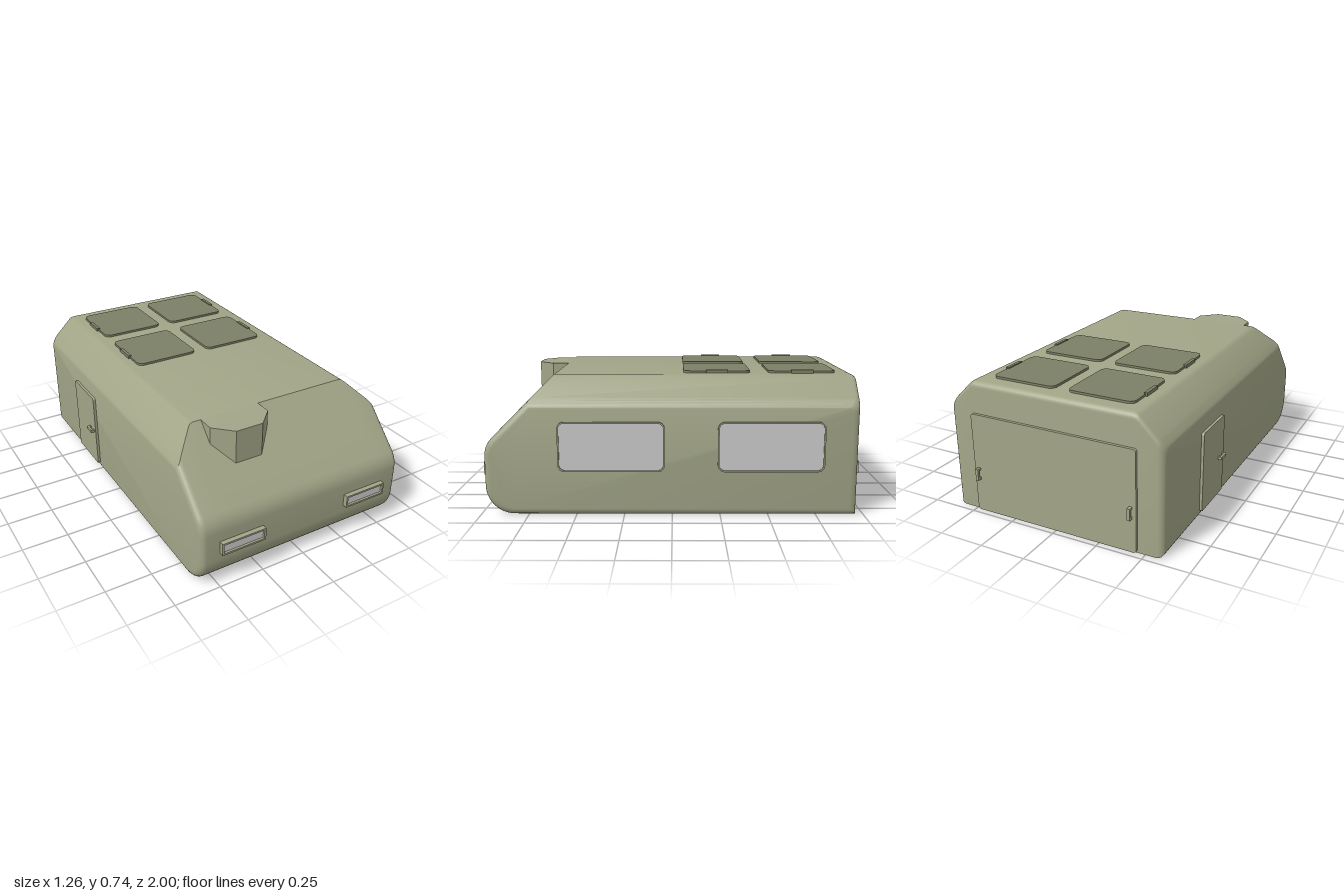
import * as THREE from 'three';
import { toCreasedNormals } from 'three/addons/utils/BufferGeometryUtils.js';

const olive = new THREE.MeshStandardMaterial({ color: 0xa2a587 });
const darkOlive = new THREE.MeshStandardMaterial({ color: 0x7d8066 });
const grey = new THREE.MeshStandardMaterial({ color: 0xcccccc });

const LEFT = 0.62, RIGHT = -0.595, FRONT = 0.975, BACK = -0.96, ROOF = 0.72;

// Side outline as [z, y] points, shrunk by d and cut off at height top
function outline(d, top) {
  const pts = [];
  const arc = (z, y, r, from, to, n) => {
    for (let i = 0; i <= n; i++) {
      const a = THREE.MathUtils.degToRad(from + (to - from) * i / n);
      pts.push([z + r * Math.cos(a), y + r * Math.sin(a)]);
    }
  };
  arc(FRONT - 0.15, 0.15, 0.15 - d, -90, 0, 10);
  arc(FRONT - 0.133, 0.31, 0.133 - d, 0, 45, 5);
  pts.push([1.34 - d * Math.SQRT2 - top, top]);
  arc(BACK + d + 0.03, top - 0.03, 0.03, 90, 180, 5);
  pts.push([BACK + d, d]);
  return pts;
}

// Hull: side outlines lofted across the width, with rounded sides and chamfered roof edges
function hullGeometry() {
  const r = 0.035, steps = [];
  for (let i = 0; i <= 5; i++) {
    const a = (Math.PI / 2) * (1 - i / 5);
    const o = r * (1 - Math.sin(a));
    steps.push([o, r * (1 - Math.cos(a)), 0.58 + o - 0.015 * (1 - i / 5)]);
  }
  steps.push([0.128, 0, 0.706], [0.143, 0, 0.717], [0.16, 0, ROOF]);
  const stations = [
    ...steps.map(([o, d, t]) => [RIGHT + o, d, t]),
    ...steps.slice().reverse().map(([o, d, t]) => [LEFT - o, d, t]),
  ];
  const pos = [], index = [];
  let n = 0;
  for (const [x, d, t] of stations) {
    const loop = outline(d, t);
    n = loop.length;
    for (const [z, y] of loop) pos.push(x, y, z);
  }
  const last = (stations.length - 1) * n;
  for (let s = 0; s < last; s += n) {
    for (let i = 0; i < n; i++) {
      const a = s + i, b = s + (i + 1) % n;
      index.push(a, a + n, b, b, a + n, b + n);
    }
  }
  for (let i = 1; i < n - 1; i++) {
    index.push(0, i, i + 1, last, last + i + 1, last + i);
  }
  const g = new THREE.BufferGeometry();
  g.setAttribute('position', new THREE.Float32BufferAttribute(pos, 3));
  g.setIndex(index);
  return toCreasedNormals(g.toNonIndexed(), 0.5);
}

function roundedRect(w, h, r, Type = THREE.Shape) {
  const s = new Type(), x = w / 2, y = h / 2;
  s.absarc(x - r, y - r, r, 0, Math.PI / 2);
  s.absarc(-x + r, y - r, r, Math.PI / 2, Math.PI);
  s.absarc(-x + r, -y + r, r, Math.PI, Math.PI * 1.5);
  s.absarc(x - r, -y + r, r, Math.PI * 1.5, Math.PI * 2);
  s.closePath();
  return s;
}

// Flat panel with rounded corners, facing +z; a border leaves a window opening
function panel(name, w, h, depth, r, material, border = 0) {
  const shape = roundedRect(w, h, r);
  if (border) {
    shape.holes.push(roundedRect(w - 2 * border, h - 2 * border, Math.max(r - border, 0.001), THREE.Path));
  }
  const g = new THREE.ExtrudeGeometry(shape, { depth, bevelEnabled: false, curveSegments: 6 });
  const m = new THREE.Mesh(g, material);
  m.name = name;
  return m;
}

function box(name, w, h, d, x, y, z, material = olive) {
  const m = new THREE.Mesh(new THREE.BoxGeometry(w, h, d), material);
  m.position.set(x, y, z);
  m.name = name;
  return m;
}

// Grab handle along y, standing out towards +z
function handle(name, length, reach) {
  const g = new THREE.Group(), t = 0.012;
  g.name = name;
  g.add(box('grip', 0.016, length, t, 0, 0, reach - t / 2));
  for (const s of [-1, 1]) {
    g.add(box('gripPost', 0.016, t, reach, 0, s * (length - t) / 2, reach / 2));
  }
  return g;
}

function place(obj, x, y, z, rx = 0, ry = 0, rz = 0) {
  obj.position.set(x, y, z);
  obj.rotation.set(rx, ry, rz);
  return obj;
}

export function createModel() {
  const model = new THREE.Group();
  model.name = 'camperBody';
  const H = Math.PI / 2;

  const hull = new THREE.Mesh(hullGeometry(), olive);
  hull.name = 'hull';
  model.add(hull);

  // Angular bay flush with the roof, standing out over the sloped front
  const plan = [[-0.39, 0.62], [-0.39, 0.71], [-0.298, 0.8], [-0.147, 0.8], [-0.057, 0.71], [-0.057, 0.62]];
  const bayShape = new THREE.Shape(plan.map(([x, z]) => new THREE.Vector2(x, -z)));
  const bay = new THREE.Mesh(new THREE.ExtrudeGeometry(bayShape, { depth: 0.22, bevelEnabled: false }), olive);
  bay.name = 'frontBay';
  model.add(place(bay, 0, 0.5, 0, -H));

  // Four roof hatches with latches on their outer edges
  for (const z of [-0.69, -0.237]) {
    for (const [x, latchX] of [[-0.212, -0.394], [0.226, 0.407]]) {
      model.add(place(panel('roofHatch', 0.362, 0.356, 0.014, 0.035, darkOlive), x, ROOF - 0.002, z, -H));
      model.add(box('hatchLatch', 0.018, 0.02, 0.115, latchX, ROOF + 0.008, z, darkOlive));
    }
  }

  // Framed windows on the left side
  for (const z of [0.315, -0.51]) {
    model.add(place(panel('windowFrame', 0.552, 0.262, 0.012, 0.036, olive, 0.008), LEFT - 0.003, 0.365, z, 0, H));
    model.add(place(panel('windowGlass', 0.538, 0.248, 0.005, 0.028, grey), LEFT - 0.003, 0.365, z, 0, H));
  }

  // Headlights: raised frame with a recessed lens
  for (const x of [-0.365, 0.388]) {
    model.add(place(panel('headlightFrame', 0.25, 0.07, 0.03, 0.002, olive, 0.01), x, 0.223, FRONT - 0.005));
    model.add(place(panel('headlightLens', 0.232, 0.052, 0.018, 0.002, grey), x, 0.223, FRONT - 0.005));
  }

  // Rear ramp door with two handles
  model.add(place(panel('rearDoor', 0.94, 0.546, 0.018, 0.015, olive), 0.0125, 0.277, BACK + 0.003, 0, Math.PI));
  for (const x of [-0.43, 0.455]) {
    model.add(place(handle('rearDoorHandle', 0.064, 0.025), x, 0.22, BACK - 0.015, 0, Math.PI));
  }

  // Side door on the right, with a level handle
  model.add(place(panel('sideDoor', 0.28, 0.442, 0.018, 0.012, olive), RIGHT + 0.003, 0.261, -0.39, 0, -H));
  const lever = new THREE.Group();
  lever.name = 'sideDoorHandle';
  lever.add(place(handle('lever', 0.064, 0.022), 0, 0, 0, 0, 0, H));
  model.add(place(lever, RIGHT - 0.015, 0.261, -0.297, 0, -H));

  return model;
}
